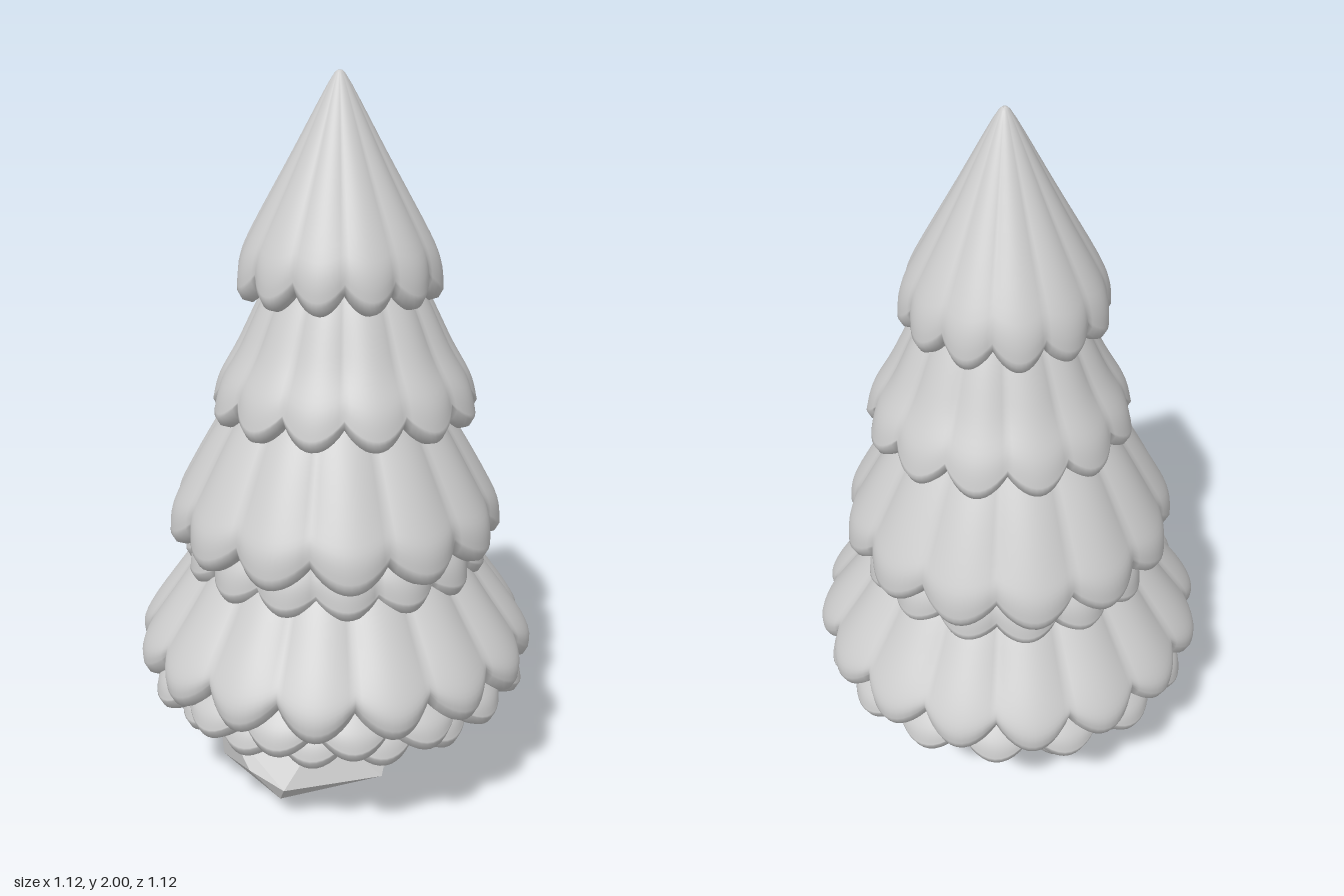
import * as THREE from 'three';
import { ConvexGeometry } from 'three/addons/geometries/ConvexGeometry.js';

const SEGMENTS_PER_LOBE = 12;

// Ring of scalloped lobes: outer profile, rolled rim, then underside back to the trunk.
function skirtGeometry({ lobes, phase, cx, cz, depth, outer, inner }) {
  const [rim, low] = outer[outer.length - 1];
  const curve = new THREE.SplineCurve(outer.map(p => new THREE.Vector2(...p)));
  const top = outer[0][1];
  const rows = curve.getPoints(18).map(p => {
    const t = Math.max(0, (top - p.y) / (top - low));
    return [p.x, p.y, t ** 4, Math.sqrt(t)];
  });
  rows.push(
    [rim - 0.012, low - 0.022, 1, 1],
    [rim - 0.035, low - 0.03, 1, 1],
    [rim - 0.06, low - 0.015, 1, 1],
    [rim - 0.085, low + 0.02, 0.8, 1],
    [inner[0], inner[1], 0, 0]
  );
  const count = lobes * SEGMENTS_PER_LOBE;
  const positions = [], index = [];
  rows.forEach(([r, y, drop, flute], j) => {
    for (let i = 0; i < count; i++) {
      const a = (i / count) * Math.PI * 2;
      const cusp = 1 - Math.abs(Math.sin(a * lobes / 2)) ** 0.9;
      const radius = r * (1 - 0.075 * flute * cusp);
      positions.push(cx + radius * Math.sin(a + phase), y + depth * drop * cusp, cz + radius * Math.cos(a + phase));
      if (j < rows.length - 1) {
        const n = (i + 1) % count;
        const p = j * count + i, q = p + count, s = (j + 1) * count + n, t = j * count + n;
        index.push(p, q, s, p, s, t);
      }
    }
  });
  const g = new THREE.BufferGeometry();
  g.setAttribute('position', new THREE.Float32BufferAttribute(positions, 3));
  g.setIndex(index);
  g.computeVertexNormals();
  return g;
}

export function createModel() {
  const tree = new THREE.Group();
  tree.name = 'firTree';
  const grey = new THREE.MeshStandardMaterial({ color: 0xcccccc });
  grey.name = 'plain grey';
  const add = (name, geometry, x = 0, y = 0, z = 0) => {
    const mesh = new THREE.Mesh(geometry, grey);
    mesh.name = name;
    mesh.position.set(x, y, z);
    tree.add(mesh);
    return mesh;
  };

  // Branch tiers, from the tip down
  const tiers = [
    { name: 'tipTier', lobes: 12, phase: 0.28, cx: 0.008, cz: 0.015, depth: 0.05, inner: [0.1, 1.56],
      outer: [[0.001, 2], [0.022, 1.985], [0.125, 1.8], [0.237, 1.6], [0.27, 1.52], [0.277, 1.455]] },
    { name: 'upperTier', lobes: 13, phase: 0.18, cx: 0.022, cz: 0.02, depth: 0.055, inner: [0.13, 1.24],
      outer: [[0.12, 1.6], [0.215, 1.45], [0.29, 1.3], [0.345, 1.2], [0.365, 1.125]] },
    { name: 'middleTier', lobes: 13, phase: 0.04, cx: 0, cz: 0, depth: 0.06, inner: [0.2, 0.88],
      outer: [[0.18, 1.3], [0.26, 1.18], [0.345, 1.05], [0.425, 0.91], [0.457, 0.84], [0.464, 0.775]] },
    { name: 'middleUnderTier', lobes: 15, phase: 0, cx: 0, cz: 0, depth: 0.035, inner: [0.25, 0.72],
      outer: [[0.26, 0.95], [0.35, 0.85], [0.41, 0.76], [0.425, 0.685]] },
    { name: 'lowerTier', lobes: 16, phase: 0.2, cx: 0, cz: 0, depth: 0.065, inner: [0.25, 0.5],
      outer: [[0.25, 0.86], [0.37, 0.73], [0.46, 0.61], [0.53, 0.51], [0.56, 0.45], [0.56, 0.405]] },
    { name: 'lowerUnderTier', lobes: 16, phase: 0, cx: 0, cz: 0, depth: 0.055, inner: [0.2, 0.42],
      outer: [[0.35, 0.57], [0.46, 0.48], [0.53, 0.4], [0.547, 0.345]] },
    { name: 'bottomTier', lobes: 15, phase: 0.2, cx: 0, cz: 0, depth: 0.05, inner: [0.06, 0.36],
      outer: [[0.3, 0.48], [0.4, 0.41], [0.47, 0.34], [0.49, 0.285]] }
  ];
  tiers.forEach(tier => add(tier.name, skirtGeometry(tier)));

  // Trunk
  add('trunk', new THREE.CylinderGeometry(0.075, 0.085, 0.3, 12), 0, 0.32, 0);

  // Faceted rock under the trunk, with a spur to the left
  const rock = (name, points) => add(name, new ConvexGeometry(points.map(p => new THREE.Vector3(...p))));
  rock('rock', [
    [-0.34, 0.07, 0.0], [-0.34, 0.19, -0.06], [-0.34, 0.2, 0.06], [-0.31, 0.13, 0.2],
    [-0.24, 0.12, 0.31], [-0.24, 0.07, 0.27], [-0.1, 0.25, 0.23], [0.05, 0.1, 0.29],
    [0.02, 0.07, 0.24], [-0.12, 0.07, -0.26], [-0.1, 0.19, -0.27], [0.04, 0.2, -0.25],
    [0.1, 0.07, -0.18], [0.2, 0.28, -0.1], [0.18, 0.26, -0.17], [-0.02, 0.275, -0.12],
    [0.2, 0.28, 0.04], [0.1, 0.07, 0.05]
  ]);
  rock('rockSpur', [
    [0.33, 0.12, 0.03], [0.09, 0.14, 0.2], [0.16, 0.21, 0], [0.12, 0.18, -0.17],
    [0.12, 0.08, -0.21], [0.05, 0.09, 0.26], [0.14, 0.08, 0], [0, 0.2, 0.05]
  ]);

  // Stepped foot
  add('footDisc', new THREE.CylinderGeometry(0.135, 0.125, 0.03, 24), 0, 0.056, 0);
  const foot = add('footPad', new THREE.CylinderGeometry(0.115, 0.115, 0.042, 12), -0.005, 0.021, 0.005);
  foot.scale.z = 0.5;

  return tree;
}
